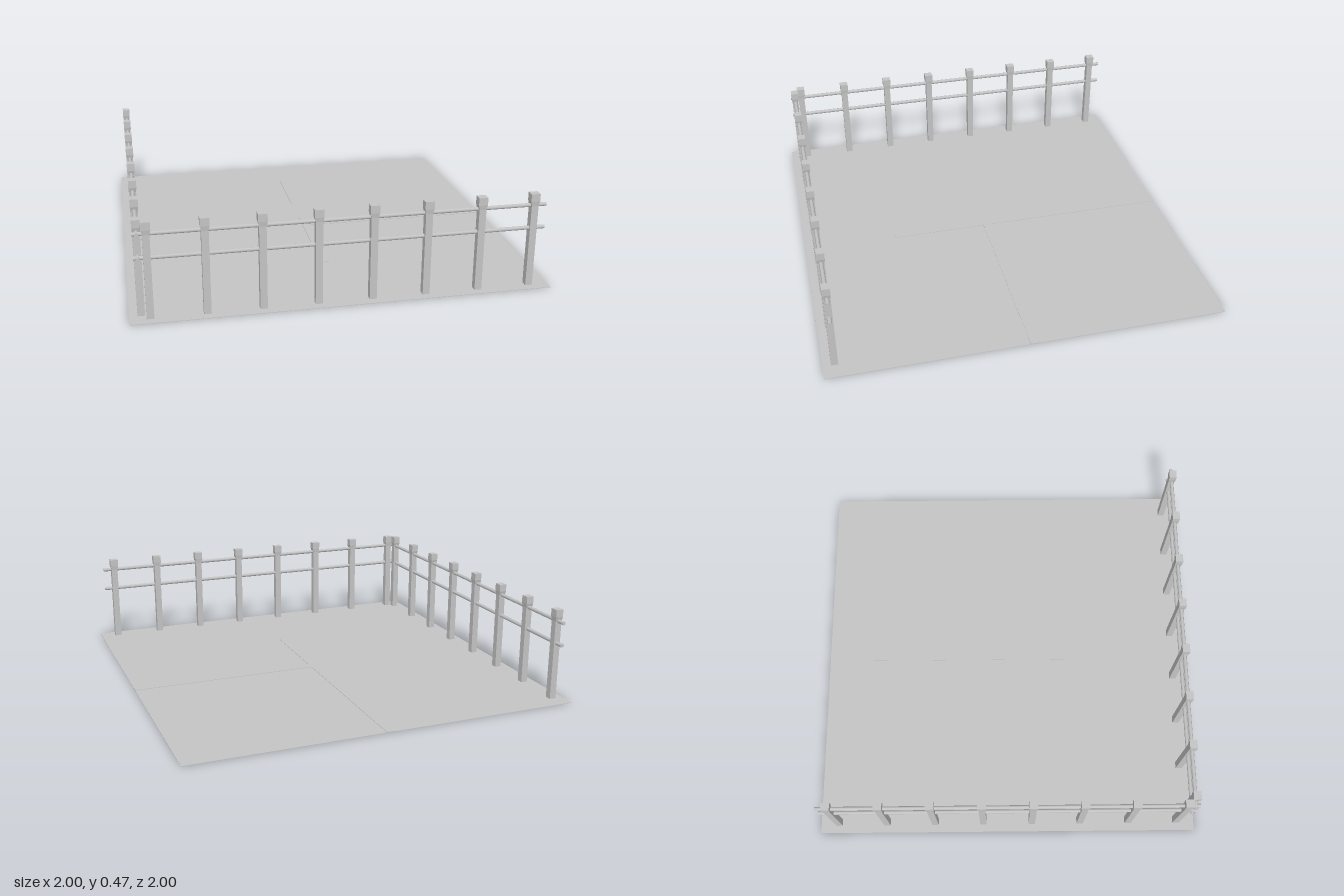
import * as THREE from 'three';

export function createModel() {
  const model = new THREE.Group();
  const grey = new THREE.MeshStandardMaterial({ color: 0xc4c4c4 });
  grey.name = 'plain grey';

  const add = (parent, name, geometry, x, y, z) => {
    const mesh = new THREE.Mesh(geometry, grey);
    mesh.name = name;
    mesh.position.set(x, y, z);
    parent.add(mesh);
    return mesh;
  };

  // Thin ground slab with a T-shaped path lying on it
  add(model, 'ground', new THREE.BoxGeometry(2, 0.002, 2), 0, 0.001, 0);
  add(model, 'longPath', new THREE.BoxGeometry(0.046, 0.003, 1.51), -0.002, 0.0025, -0.245);
  add(model, 'sidePath', new THREE.BoxGeometry(0.979, 0.003, 0.048), 0.5105, 0.0025, -0.014);

  // Shared fence parts
  const shaft = new THREE.BoxGeometry(0.034, 0.425, 0.034);
  const cap = new THREE.BoxGeometry(0.044, 0.038, 0.039);
  const collar = new THREE.BoxGeometry(0.044, 0.022, 0.039);
  const p = collar.attributes.position;
  for (let i = 0; i < p.count; i++) {
    if (p.getY(i) < 0) p.setXYZ(i, p.getX(i) * 0.77, p.getY(i), p.getZ(i) * 0.87);
  }
  collar.computeVertexNormals();
  const rail = new THREE.CylinderGeometry(0.01, 0.01, 1.93, 8).rotateZ(Math.PI / 2);

  // A straight fence along x: eight capped posts and two rails
  function makeFence(name) {
    const fence = new THREE.Group();
    fence.name = name;
    for (let i = 0; i < 8; i++) {
      const post = new THREE.Group();
      post.name = 'post';
      post.position.x = -0.904 + i * 0.2583;
      add(post, 'shaft', shaft, 0, 0.2125, 0);
      add(post, 'collar', collar, 0, 0.422, 0);
      add(post, 'cap', cap, 0, 0.452, 0);
      fence.add(post);
    }
    add(fence, 'lowerRail', rail, 0, 0.297, 0);
    add(fence, 'upperRail', rail, 0, 0.412, 0);
    model.add(fence);
    return fence;
  }

  makeFence('frontFence').position.z = 0.942;
  const sideFence = makeFence('rightFence');
  sideFence.position.x = -0.944;
  sideFence.rotation.y = Math.PI / 2;

  return model;
}
